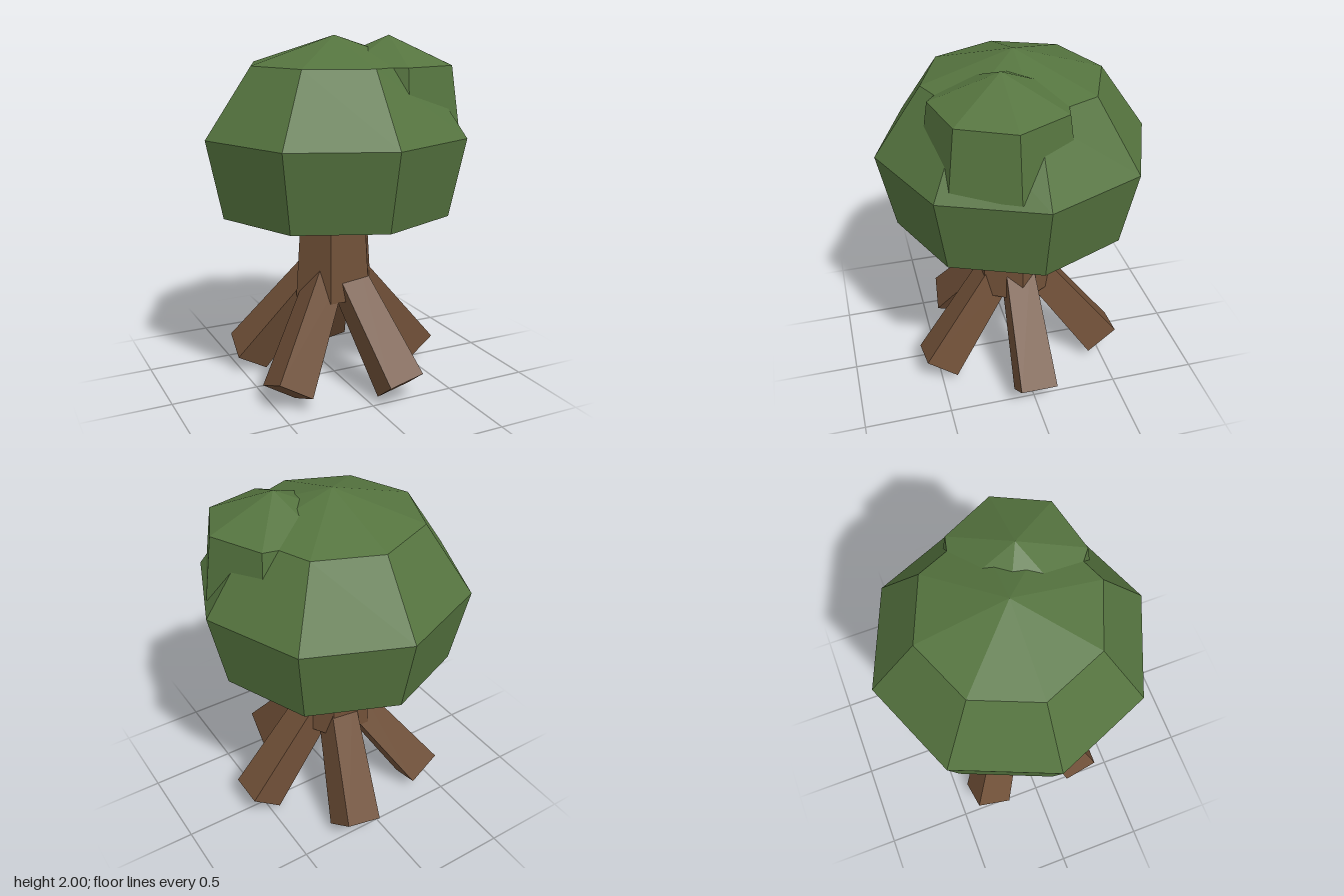
import * as THREE from 'three';

const leafGreen = new THREE.MeshStandardMaterial({ color: 0x55743f, flatShading: true });
leafGreen.name = 'leafGreen';
const barkBrown = new THREE.MeshStandardMaterial({ color: 0x6f4f37, flatShading: true });
barkBrown.name = 'barkBrown';

function part(name, geometry, material) {
  const mesh = new THREE.Mesh(geometry, material);
  mesh.name = name;
  return mesh;
}

// Faceted solid of revolution with one corner on +x; profile is [radius, y] from bottom to top
function faceted(profile, sides) {
  const points = profile.map(([r, y]) => new THREE.Vector2(r, y));
  return new THREE.LatheGeometry(points, sides).rotateY(Math.PI / 2);
}

// Square tapered root, swung outwards from straight down without twisting
function root(angle) {
  const tilt = 0.67, length = 0.78, endRadius = 0.535, endHeight = 0.095;
  const geometry = new THREE.CylinderGeometry(0.08 * Math.SQRT2, 0.107 * Math.SQRT2, length, 4);
  geometry.rotateY(Math.PI / 4).translate(0, length / 2, 0);
  const mesh = part('root', geometry, barkBrown);
  const dx = Math.cos(angle), dz = Math.sin(angle);
  const along = new THREE.Vector3(dx * Math.sin(tilt), -Math.cos(tilt), dz * Math.sin(tilt));
  mesh.quaternion.setFromUnitVectors(new THREE.Vector3(0, -1, 0), along);
  mesh.position.set(dx * endRadius, endHeight, dz * endRadius);
  return mesh;
}

export function createModel() {
  const tree = new THREE.Group();
  tree.name = 'tree';

  // Six-sided trunk running up into the canopy
  tree.add(part('trunk', faceted([[0, 0.52], [0.243, 0.52], [0.2, 1.15], [0, 1.15]], 6), barkBrown));

  // Five splayed roots
  const roots = new THREE.Group();
  roots.name = 'roots';
  for (let i = 0; i < 5; i++) roots.add(root((i / 5) * Math.PI * 2));
  tree.add(roots);

  // Eight-sided main canopy
  tree.add(part('canopy', faceted([[0, 1.03], [0.665, 1.03], [0.755, 1.465], [0.49, 1.845], [0, 2]], 8), leafGreen));

  // Smaller seven-sided leaf clump sunk into the canopy
  const clump = part('leafClump', faceted([[0, 1.49], [0.42, 1.49], [0.367, 1.845], [0, 2]], 7), leafGreen);
  clump.position.set(0.27, 0, 0.13);
  tree.add(clump);

  return tree;
}
